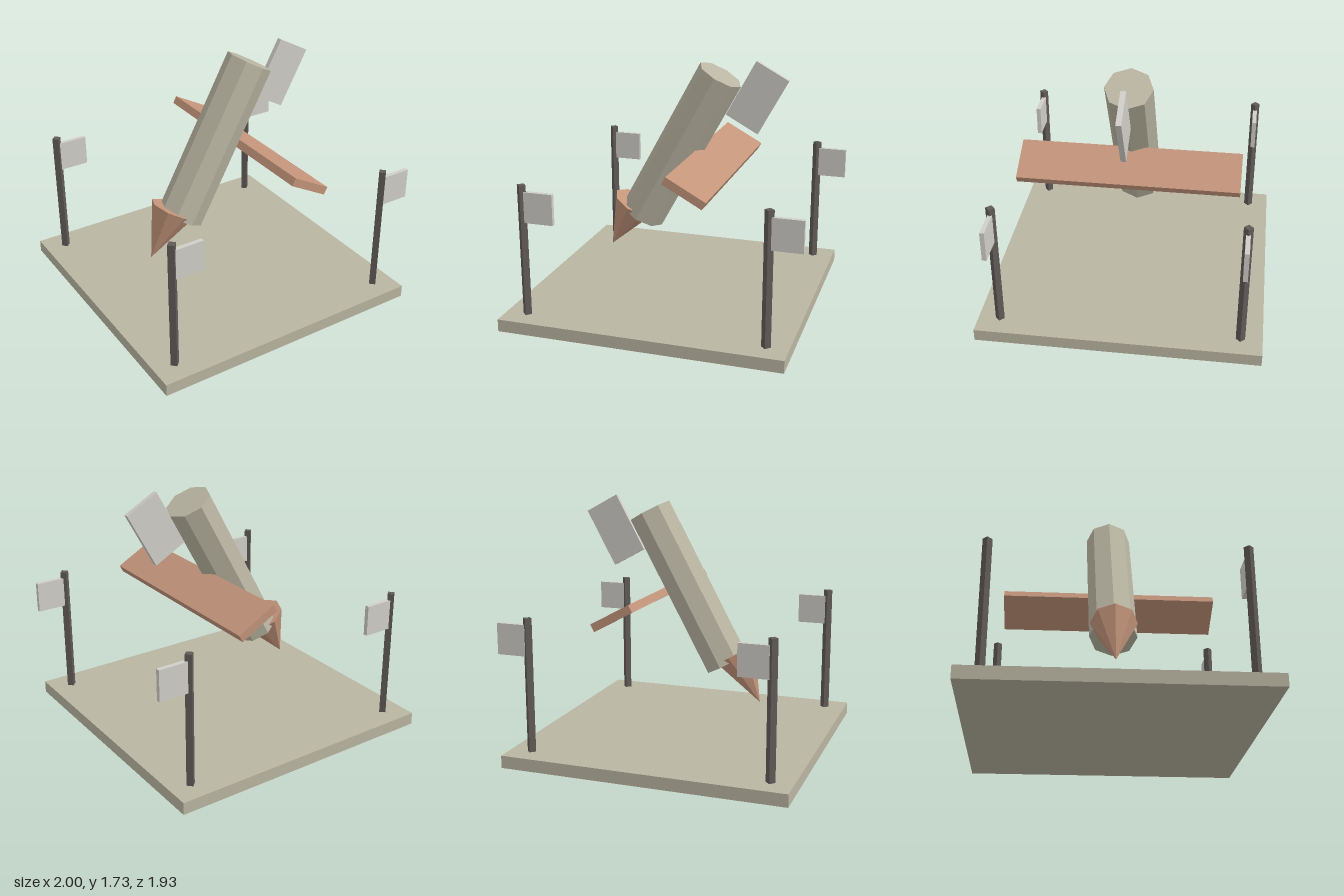
import * as THREE from 'three';

const material = (name, color) => {
  const m = new THREE.MeshStandardMaterial({ color, flatShading: true });
  m.name = name;
  return m;
};

export function createModel() {
  const stone = material('stone', 0xbab5a2);
  const copper = material('copper', 0xc3947a);
  const iron = material('iron', 0x615b58);
  const panel = material('panel', 0xd0cec8);

  const model = new THREE.Group();
  model.name = 'tiltedRocketOnPlate';

  const add = (parent, name, geometry, mat, x, y, z) => {
    const mesh = new THREE.Mesh(geometry, mat);
    mesh.name = name;
    mesh.position.set(x, y, z);
    parent.add(mesh);
    return mesh;
  };

  // Square ground plate
  const cx = -0.035;
  add(model, 'basePlate', new THREE.BoxGeometry(1.93, 0.085, 1.93), stone, cx, 0.0425, 0);

  // Corner posts, square set on the diagonal, each with a small flag
  for (const sx of [-1, 1]) {
    for (const sz of [-1, 1]) {
      const corner = new THREE.Group();
      corner.name = (sz > 0 ? 'front' : 'back') + (sx > 0 ? 'Left' : 'Right') + 'Marker';
      corner.position.set(cx + sx * 0.817, 0, sz * 0.817);
      add(corner, 'post', new THREE.CylinderGeometry(0.031, 0.031, 0.905, 4), iron, 0, 0.5375, 0);
      add(corner, 'flag', new THREE.BoxGeometry(0.2, 0.21, 0.03), panel, 0.117, 0.84, 0);
      model.add(corner);
    }
  }

  // Tilted body; its parts are placed along its own axis
  const craft = new THREE.Group();
  craft.name = 'craft';
  craft.position.set(cx, 1.103, 0);
  craft.rotation.z = -0.5;
  model.add(craft);

  add(craft, 'fuselage', new THREE.CylinderGeometry(0.16, 0.16, 1.178, 8), stone, 0, 0, 0);

  // Nose cone, sitting off axis and pointing down
  const nose = add(craft, 'noseCone', new THREE.ConeGeometry(0.158, 0.38, 8), copper, -0.087, -0.743, 0);
  nose.rotation.x = Math.PI;

  // Cross wing and tail fin on the upper side
  add(craft, 'wing', new THREE.BoxGeometry(0.3, 0.055, 1.5), copper, 0.269, 0.044, 0);
  add(craft, 'tailFin', new THREE.BoxGeometry(0.252, 0.426, 0.036), panel, 0.291, 0.589, 0);

  return model;
}
